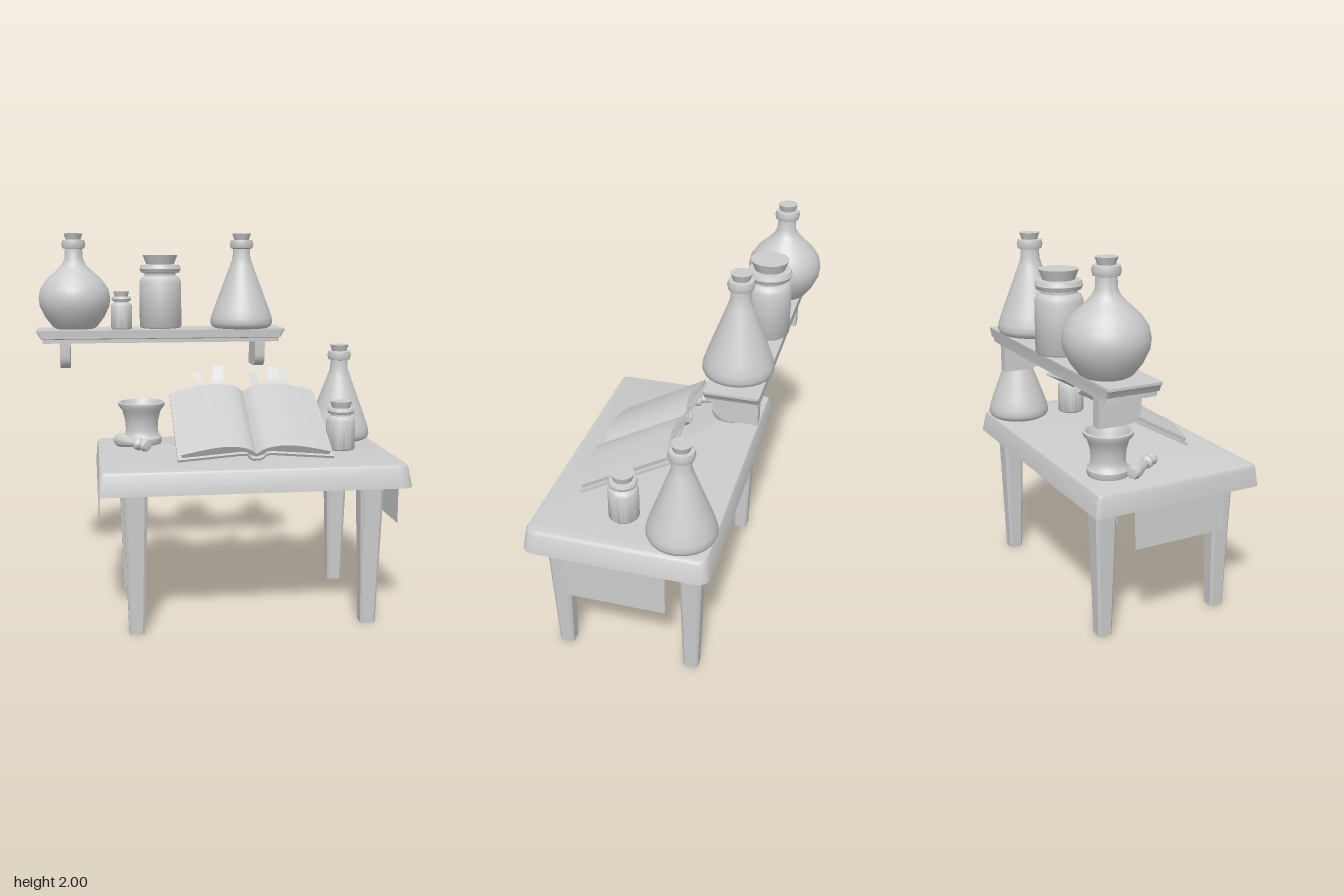
import * as THREE from 'three';
import { toCreasedNormals } from 'three/addons/utils/BufferGeometryUtils.js';

const grey = new THREE.MeshStandardMaterial({ color: 0xcccccc });
const thin = new THREE.MeshStandardMaterial({ color: 0xcccccc, side: THREE.DoubleSide });

function add(parent, name, geometry, x = 0, y = 0, z = 0, material = grey) {
  const mesh = new THREE.Mesh(geometry, material);
  mesh.name = name;
  mesh.position.set(x, y, z);
  parent.add(mesh);
  return mesh;
}

function turned(points, segments = 36) {
  const profile = points.map(([r, y]) => new THREE.Vector2(r, y));
  return toCreasedNormals(new THREE.LatheGeometry(profile, segments), 0.7);
}

// Rounded rectangle outline, with separate corner radii for the two ends
function outline({ x0, x1, z0, z1, y, rL, rR }) {
  const corners = [[x1, z1, rR, -1, -1], [x1, z0, rR, -1, 1], [x0, z0, rL, 1, 1], [x0, z1, rL, 1, -1]];
  const pts = [];
  corners.forEach(([x, z, r, sx, sz], k) => {
    for (let i = 0; i <= 4; i++) {
      const a = (k - 1 + i / 4) * Math.PI / 2;
      pts.push([x + sx * r + r * Math.cos(a), y, z + sz * r - r * Math.sin(a)]);
    }
  });
  return pts;
}

// Skin stacked outlines from bottom to top, closing the top and optionally the bottom
function loft(levels, closeBottom) {
  const rings = levels.map(outline);
  const n = rings[0].length, pos = rings.flat(2), idx = [];
  for (let k = 0; k < rings.length - 1; k++) {
    for (let i = 0; i < n; i++) {
      const j = (i + 1) % n, a = k * n, b = a + n;
      idx.push(a + i, a + j, b + j, a + i, b + j, b + i);
    }
  }
  const top = (rings.length - 1) * n;
  for (let i = 1; i < n - 1; i++) {
    idx.push(top, top + i, top + i + 1);
    if (closeBottom) idx.push(0, i + 1, i);
  }
  const g = new THREE.BufferGeometry();
  g.setAttribute('position', new THREE.Float32BufferAttribute(pos, 3));
  g.setIndex(idx);
  return toCreasedNormals(g, 0.6);
}

// Square leg with chamfered corners, tapering to the floor
function legGeometry() {
  const g = new THREE.CylinderGeometry(0.069, 0.042, 0.84, 8, 3, false, Math.PI / 8).toNonIndexed();
  const p = g.attributes.position;
  for (let i = 0; i < p.count; i++) {
    const x = p.getX(i), z = p.getZ(i), r = Math.hypot(x, z);
    p.setX(i, Math.abs(x) < r / 2 ? x * 1.75 : x);
    p.setZ(i, Math.abs(z) < r / 2 ? z * 1.75 : z);
  }
  g.computeVertexNormals();
  return g;
}

function extrude(points, depth) {
  const shape = new THREE.Shape(points.map(([x, y]) => new THREE.Vector2(x, y)));
  return toCreasedNormals(new THREE.ExtrudeGeometry(shape, { depth, bevelEnabled: false }), 0.5);
}

function makeTable() {
  const table = new THREE.Group();
  table.name = 'table';
  const size = { x0: -0.625, x1: 0.92, z0: -0.36, z1: 0.56, rL: 0.02, rR: 0.06 };
  add(table, 'tableTop', loft([
    { ...size, x0: -0.633, x1: 0.94, z0: -0.375, z1: 0.573, y: 0.735 },
    { ...size, y: 0.835 },
    { ...size, x0: -0.62, x1: 0.91, z0: -0.353, z1: 0.553, y: 0.848 },
    { ...size, x0: -0.605, x1: 0.895, z0: -0.338, z1: 0.538, y: 0.853 },
  ], false), 0, 0, 0, thin);
  const leg = legGeometry();
  for (const x of [-0.45, 0.745]) for (const z of [0.44, -0.25]) add(table, 'leg', leg, x, 0.42, z);
  // Cloth ends hanging at both sides
  for (const [x, low, tilt] of [[0.925, 0.495, 0], [-0.625, 0.53, -0.03]]) {
    const g = new THREE.PlaneGeometry(0.52, 0.8 - low).rotateY(Math.PI / 2);
    add(table, 'clothEnd', g, x, (0.8 + low) / 2, 0.1, thin).rotation.z = tilt;
  }
  return table;
}

function makeShelf() {
  const shelf = new THREE.Group();
  shelf.name = 'shelf';
  const size = { x0: -0.945, x1: 0.43, z0: -0.48, z1: -0.21, rL: 0.012, rR: 0.012 };
  add(shelf, 'shelfBoard', loft([
    { ...size, x0: -0.912, x1: 0.397, z0: -0.472, z1: -0.218, y: 1.407 },
    { ...size, x0: -0.912, x1: 0.397, z0: -0.472, z1: -0.218, y: 1.428 },
    { ...size, x0: -0.922, x1: 0.407, y: 1.432 },
    { ...size, x0: -0.938, x1: 0.423, y: 1.462 },
    { ...size, y: 1.466 },
    { ...size, y: 1.478 },
  ], true));
  // Brackets, cut from the side and rounded at the lower front
  const s = new THREE.Shape();
  s.moveTo(0.46, 1.41);
  s.lineTo(0.46, 1.262);
  s.lineTo(0.32, 1.262);
  s.quadraticCurveTo(0.25, 1.268, 0.245, 1.33);
  s.lineTo(0.245, 1.41);
  const g = new THREE.ExtrudeGeometry(s, { depth: 0.055, bevelEnabled: false, curveSegments: 8 });
  g.rotateY(Math.PI / 2);
  for (const x of [-0.82, 0.267]) add(shelf, 'bracket', toCreasedNormals(g, 0.5), x, 0, 0);
  return shelf;
}

function makeBook() {
  const book = new THREE.Group();
  book.name = 'openBook';
  book.position.set(0.168, 0.858, 0.385);
  book.rotation.x = 0.515;
  const L = 0.545;
  // Cover boards joined by a rounded spine
  const half = [[0.4, 0], [0.075, 0.034], [0.05, 0.03], [0.035, 0.008], [0.018, -0.002]];
  const line = [...half.map(([x, y]) => [-x, y]), ...half.slice().reverse()];
  const lower = line, upper = line.map(([x, y]) => [x, y + 0.014]).reverse();
  add(book, 'cover', extrude([...lower, ...upper], L), 0, 0, -L);
  // Arched page blocks
  const arch = new THREE.CatmullRomCurve3([[0, 0.03], [0.035, 0.06], [0.1, 0.08], [0.19, 0.08], [0.29, 0.06], [0.382, 0.035]]
    .map(([x, y]) => new THREE.Vector3(x, y, 0))).getPoints(16);
  for (const s of [-1, 1]) {
    const pts = [...arch.map(p => [s * p.x, p.y]), [s * 0.378, 0.015], [s * 0.075, 0.046], [s * 0.04, 0.03], [0, 0.012]];
    add(book, 'pages', extrude(pts, L - 0.025), 0, 0, -L + 0.01);
  }
  // Curling page markers at the top edge: x, width, length, lean
  for (const [x, w, len, lean] of [[-0.243, 0.04, 0.12, 0], [-0.15, 0.06, 0.155, -0.15],
    [0.085, 0.05, 0.12, 0.25], [0.165, 0.06, 0.145, -0.08], [0.24, 0.045, 0.125, 0.06]]) {
    const g = new THREE.PlaneGeometry(w, len, 1, 6).rotateX(-Math.PI / 2).translate(0, 0, -len / 2);
    const p = g.attributes.position;
    for (let i = 0; i < p.count; i++) p.setY(i, 2.6 * p.getZ(i) ** 2);
    g.computeVertexNormals();
    add(book, 'pageMarker', g, x, 0.062, -L + 0.05, thin).rotation.y = lean;
  }
  return book;
}

export function createModel() {
  const model = new THREE.Group();
  model.name = 'alchemyTable';
  model.add(makeTable(), makeShelf(), makeBook());

  // Neck ring and stopper shared by the tall bottles
  const neck = [[0.047, 0.44], [0.06, 0.443], [0.066, 0.465], [0.06, 0.487], [0.04, 0.489], [0.052, 0.523], [0, 0.523]];
  const flask = turned([[0, 0], [0.15, 0], [0.168, 0.01], [0.176, 0.03], [0.172, 0.06], [0.155, 0.11],
    [0.062, 0.355], [0.05, 0.39], ...neck]);
  add(model, 'shelfFlask', flask, 0.2, 1.478, -0.33);
  add(model, 'tableFlask', flask, 0.74, 0.853, -0.195).scale.y = 1.02;
  add(model, 'roundBottle', turned([[0, 0], [0.105, 0], [0.125, 0.012], [0.165, 0.065], [0.193, 0.125], [0.198, 0.17],
    [0.188, 0.22], [0.155, 0.27], [0.1, 0.32], [0.066, 0.355], [0.051, 0.385], ...neck]), -0.735, 1.478, -0.378);

  add(model, 'shelfJar', turned([[0, 0], [0.11, 0], [0.118, 0.01], [0.118, 0.255], [0.108, 0.28], [0.088, 0.292],
    [0.088, 0.305], [0.108, 0.31], [0.117, 0.33], [0.108, 0.352], [0.078, 0.355], [0.097, 0.405], [0, 0.405]]), -0.255, 1.478, -0.38);
  const vial = turned([[0, 0], [0.053, 0], [0.058, 0.006], [0.058, 0.127], [0.052, 0.14], [0.041, 0.147],
    [0.041, 0.154], [0.051, 0.157], [0.055, 0.167], [0.051, 0.178], [0.036, 0.18], [0.044, 0.208], [0, 0.208]]);
  add(model, 'shelfVial', vial, -0.478, 1.478, -0.3);
  add(model, 'tableJar', vial, 0.672, 0.853, 0.12).scale.set(1.33, 1.25, 1.33);

  add(model, 'mortar', turned([[0, 0], [0.105, 0], [0.11, 0.01], [0.11, 0.035], [0.094, 0.05], [0.088, 0.08], [0.092, 0.13],
    [0.106, 0.185], [0.127, 0.212], [0.129, 0.23], [0.115, 0.232], [0.09, 0.18], [0.075, 0.12], [0.045, 0.08], [0, 0.07]]), -0.38, 0.853, -0.18);
  // Pestle lying beside the mortar
  const pestle = add(model, 'pestle', turned([[0, 0], [0.028, 0.006], [0.038, 0.03], [0.037, 0.06], [0.022, 0.15], [0.021, 0.17],
    [0.033, 0.18], [0.035, 0.192], [0.031, 0.203], [0.021, 0.215], [0.03, 0.23], [0.034, 0.247], [0.026, 0.264], [0, 0.27]], 20), -0.52, 0.888, -0.125);
  pestle.quaternion.setFromUnitVectors(new THREE.Vector3(0, 1, 0), new THREE.Vector3(0.16, 0, 0.22).normalize());
  return model;
}
